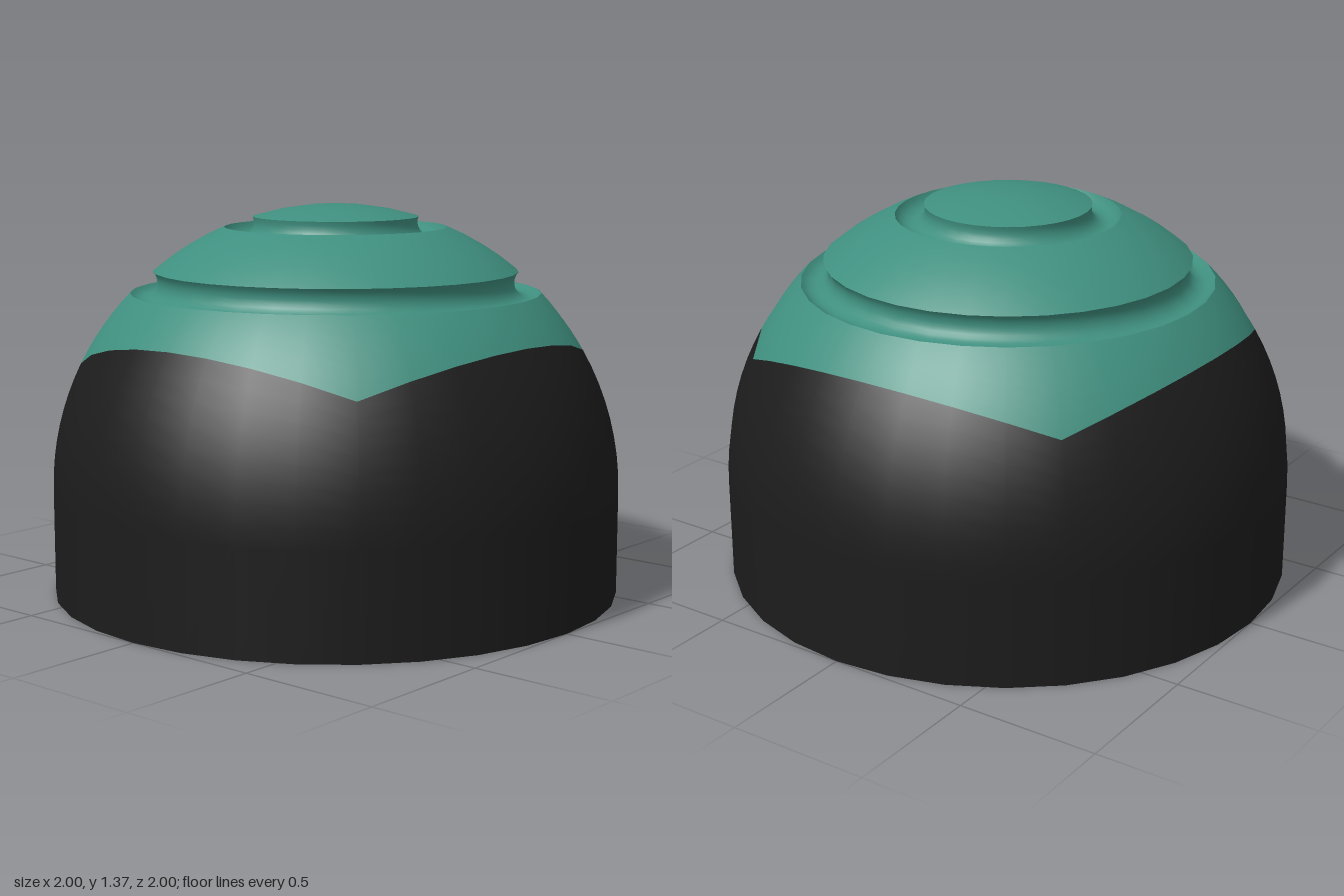
import * as THREE from 'three';
import { ParametricGeometry } from 'three/addons/geometries/ParametricGeometry.js';

const SIDES = 32;
const CENTRE = 0.365; // height where the straight wall turns into a unit dome

// Latitude of the four-cornered colour border: tilted planes cutting the dome
function borderLatitude(a) {
  const k = 0.063;
  const sm = 0.605 * Math.max(Math.abs(Math.cos(a)), Math.abs(Math.sin(a)));
  return Math.acos(-k / Math.hypot(sm, 1)) - Math.atan2(1, sm);
}

// Strip of the dome between two latitudes that may vary with the angle
function domeStrip(low, high, rows) {
  return new ParametricGeometry((u, v, target) => {
    const a = u * Math.PI * 2;
    const lat = THREE.MathUtils.lerp(low(a), high(a), v);
    target.set(Math.cos(lat) * Math.sin(a), Math.sin(lat), Math.cos(lat) * Math.cos(a));
  }, SIDES, rows);
}

// Ring or cap of the dome between two radii as seen from above
function domeRing(inner, outer, rows) {
  const start = Math.asin(inner);
  return new THREE.SphereGeometry(1, SIDES, rows, 0, Math.PI * 2, start, Math.asin(outer) - start);
}

// Half-round channel sunk into the dome between two radii
function groove(inner, outer) {
  const p = new THREE.Vector2(outer, Math.sqrt(1 - outer * outer));
  const q = new THREE.Vector2(inner, Math.sqrt(1 - inner * inner));
  const mid = p.clone().add(q).multiplyScalar(0.5);
  const points = [];
  for (let i = 0; i <= 12; i++) {
    points.push(p.clone().rotateAround(mid, -Math.PI * i / 12));
  }
  return new THREE.LatheGeometry(points, SIDES);
}

export function createModel() {
  const model = new THREE.Group();
  const green = new THREE.MeshStandardMaterial({ color: 0x3f8f7f });
  const black = new THREE.MeshStandardMaterial({ color: 0x1c1c1c });

  const add = (name, geometry, material, y = CENTRE) => {
    const mesh = new THREE.Mesh(geometry, material);
    mesh.name = name;
    mesh.position.y = y;
    model.add(mesh);
  };

  // Dark body: straight wall and lower dome
  add('wall', new THREE.CylinderGeometry(1, 1, CENTRE, SIDES, 1, true), black, CENTRE / 2);
  add('lowerDome', domeStrip(() => 0, borderLatitude, 8), black);

  // Green top: shoulder, two grooves, raised ring and crown
  add('shoulder', domeStrip(borderLatitude, () => Math.acos(0.72), 6), green);
  add('outerGroove', groove(0.64, 0.72), green);
  add('raisedRing', domeRing(0.39, 0.64, 4), green);
  add('innerGroove', groove(0.29, 0.39), green);
  add('crown', domeRing(0, 0.29, 3), green);

  // Flat underside
  add('base', new THREE.CircleGeometry(1, SIDES).rotateX(Math.PI / 2), green, 0);

  return model;
}
